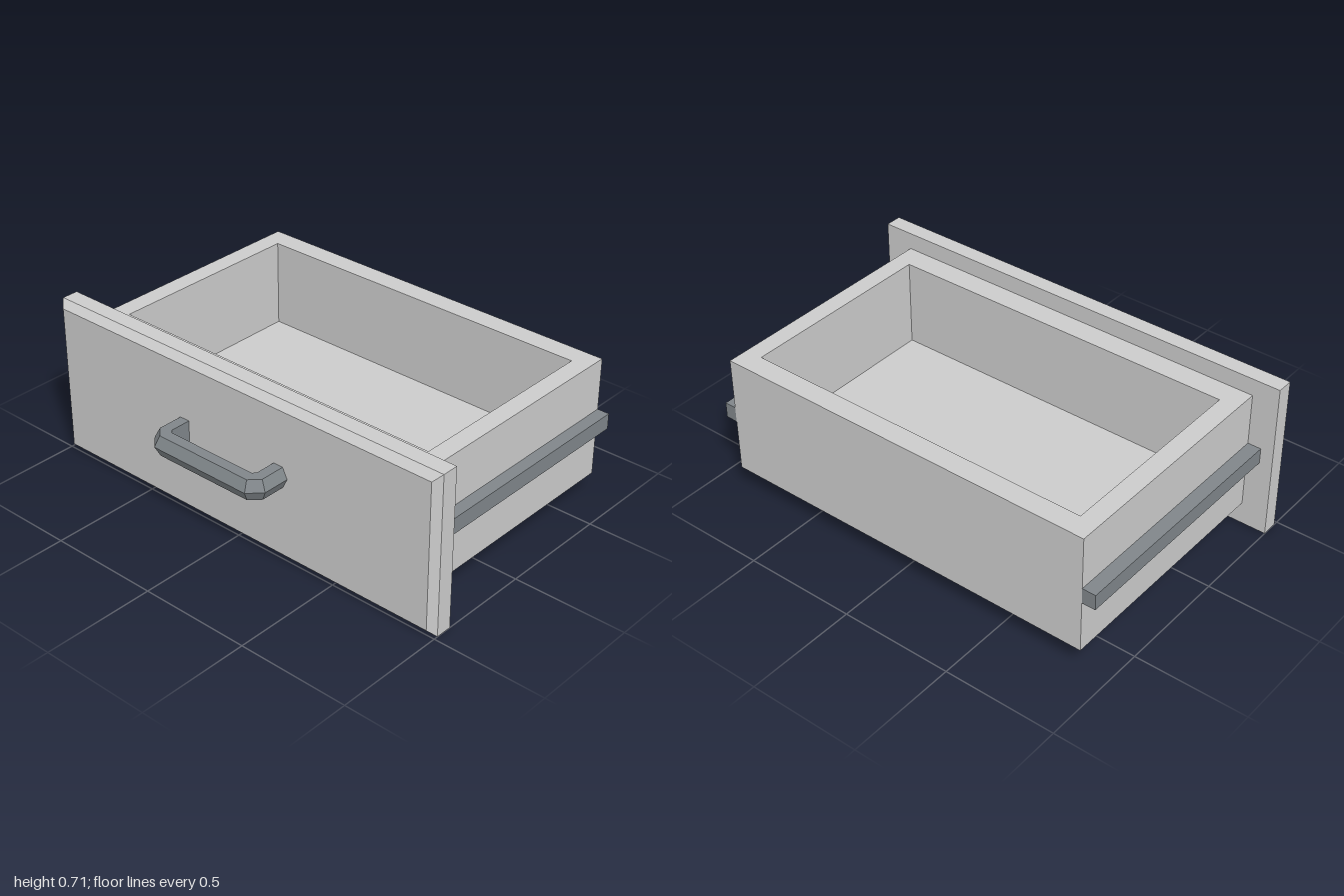
import * as THREE from 'three';

// Flat-faced skin through a list of rings; each ring is a list of [x, y, z]. Both ends are capped.
function loft(rings) {
  const out = [];
  const tri = (a, b, c) => out.push(...a, ...b, ...c);
  const n = rings[0].length;
  for (let r = 0; r < rings.length - 1; r++) {
    const a = rings[r], b = rings[r + 1];
    for (let i = 0; i < n; i++) {
      const j = (i + 1) % n;
      tri(a[i], a[j], b[j]);
      tri(a[i], b[j], b[i]);
    }
  }
  const first = rings[0], last = rings[rings.length - 1];
  for (let i = 1; i < n - 1; i++) {
    tri(first[0], first[i + 1], first[i]);
    tri(last[0], last[i], last[i + 1]);
  }
  const g = new THREE.BufferGeometry();
  g.setAttribute('position', new THREE.Float32BufferAttribute(out, 3));
  g.computeVertexNormals();
  return g;
}

// Upright rectangle at depth z, and level rectangle at height y
const upright = (z, x0, x1, y0, y1) => [[x0, y0, z], [x1, y0, z], [x1, y1, z], [x0, y1, z]];
const level = (y, x0, x1, z0, z1) => [[x0, y, z0], [x0, y, z1], [x1, y, z1], [x1, y, z0]];

// Handle: house-shaped section carried along a chamfered U path with mitred corners
function handleGeometry() {
  const path = [[-0.32, 0.505], [-0.32, 0.632], [-0.265, 0.687], [0.223, 0.687], [0.278, 0.632], [0.278, 0.505]];
  // [distance inward from the outer ridge, height]
  const section = [[0, 0.391], [0.023, 0.345], [0.07, 0.345], [0.07, 0.437], [0.023, 0.437]];
  const inward = (p, q) => {
    const dx = q[0] - p[0], dz = q[1] - p[1], l = Math.hypot(dx, dz);
    return [dz / l, -dx / l];
  };
  const last = path.length - 1;
  return loft(path.map((p, i) => {
    const a = inward(path[Math.max(i - 1, 0)], path[Math.max(i, 1)]);
    const b = inward(path[Math.min(i, last - 1)], path[Math.min(i + 1, last)]);
    const k = 1 + a[0] * b[0] + a[1] * b[1];
    const m = [(a[0] + b[0]) / k, (a[1] + b[1]) / k];
    return section.map(([d, y]) => [p[0] + m[0] * d, y, p[1] + m[1] * d]);
  }));
}

export function createModel() {
  const group = new THREE.Group();
  const lightGrey = new THREE.MeshStandardMaterial({ color: 0xcccccc });
  lightGrey.name = 'lightGrey';
  const steelGrey = new THREE.MeshStandardMaterial({ color: 0x80868a });
  steelGrey.name = 'steelGrey';

  const add = (name, geometry, material) => {
    const mesh = new THREE.Mesh(geometry, material);
    mesh.name = name;
    group.add(mesh);
    return mesh;
  };

  // Front panel with bevelled front edges
  add('frontPanel', loft([
    upright(0.408, -1, 1, 0, 0.713),
    upright(0.481, -1, 1, 0, 0.713),
    upright(0.511, -0.97, 0.97, 0.03, 0.683),
  ]), lightGrey);

  // Open tray: outer walls, rim, inner walls, floor
  add('tray', loft([
    level(0.1, -0.883, 0.871, -0.687, 0.408),
    level(0.637, -0.883, 0.871, -0.687, 0.408),
    level(0.637, -0.798, 0.79, -0.593, 0.305),
    level(0.245, -0.798, 0.79, -0.593, 0.305),
  ]), lightGrey);

  // Side runners
  for (const [name, x0, x1] of [['leftRunner', 0.871, 0.925], ['rightRunner', -0.943, -0.883]]) {
    const runner = add(name, new THREE.BoxGeometry(x1 - x0, 0.07, 1.095), steelGrey);
    runner.position.set((x0 + x1) / 2, 0.37, -0.1395);
  }

  add('handle', handleGeometry(), steelGrey);
  return group;
}
